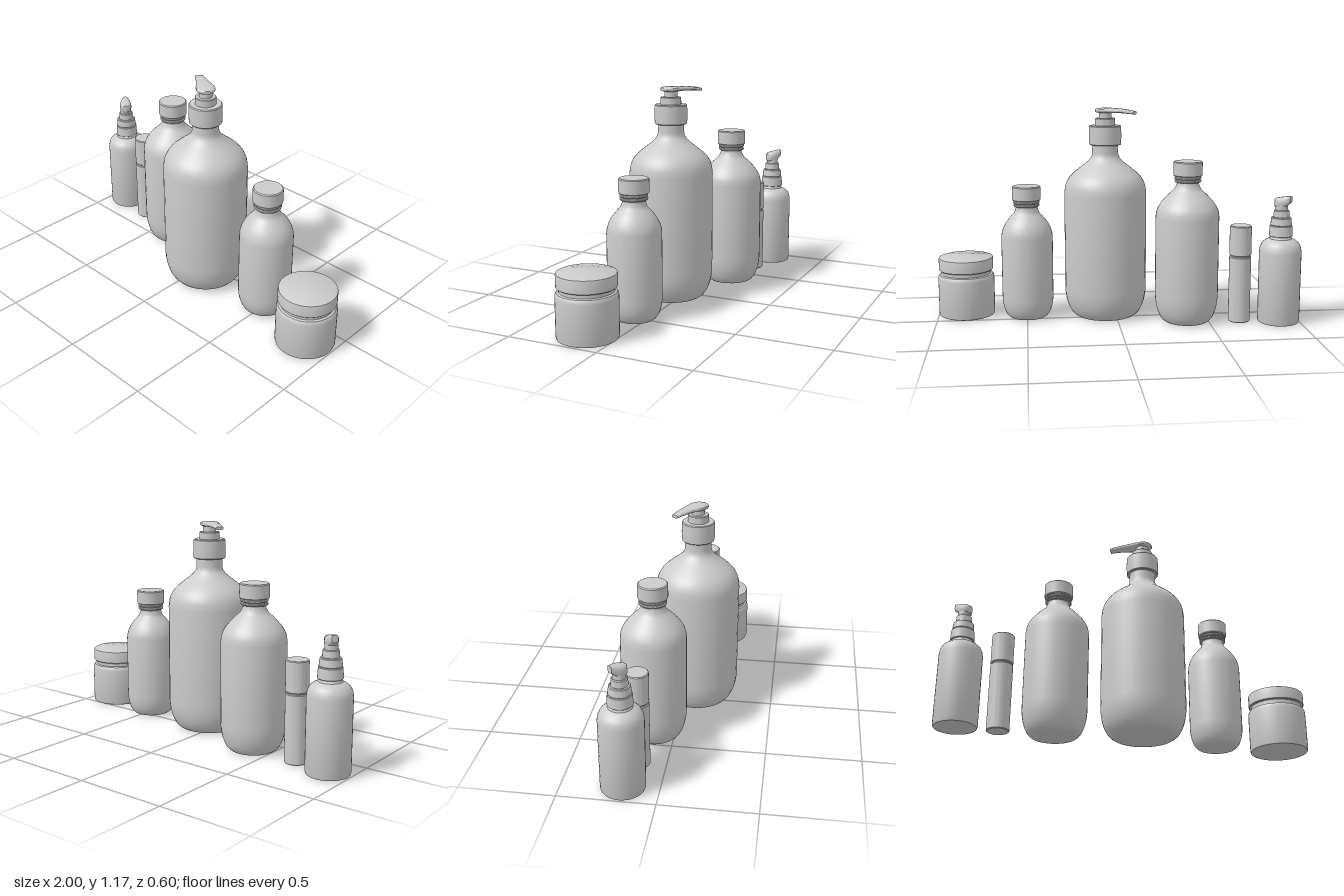
import * as THREE from 'three';
import { toCreasedNormals } from 'three/addons/utils/BufferGeometryUtils.js';

const material = new THREE.MeshStandardMaterial({ color: 0xcccccc });

// Part turned from a [radius, height] profile, closed at both ends
function turned(name, profile, segments = 36) {
  const pts = profile.map(([r, y]) => new THREE.Vector2(r, y));
  pts.unshift(new THREE.Vector2(0, profile[0][1]));
  pts.push(new THREE.Vector2(0, profile[profile.length - 1][1]));
  const mesh = new THREE.Mesh(toCreasedNormals(new THREE.LatheGeometry(pts, segments), 0.6), material);
  mesh.name = name;
  return mesh;
}

// Plain cylinder with a small bevel on both rims
function disc(name, r, y0, y1, bevel = 0.004, rTop = r) {
  return turned(name, [[r - bevel, y0], [r, y0 + bevel], [rTop, y1 - bevel], [rTop - bevel, y1]]);
}

// Rounded arm running along +z; stations are [z, half width, bottom, top]
function arm(name, stations, angle) {
  const n = 20, pos = [], idx = [];
  const soft = v => Math.sign(v) * Math.pow(Math.abs(v), 0.65);
  for (const [z, w, lo, hi] of stations)
    for (let j = 0; j < n; j++) {
      const a = (j / n) * Math.PI * 2;
      pos.push(w * soft(Math.cos(a)), (lo + hi) / 2 + (hi - lo) / 2 * soft(Math.sin(a)), z);
    }
  for (let i = 0; i < stations.length - 1; i++)
    for (let j = 0; j < n; j++) {
      const a = i * n + j, b = i * n + (j + 1) % n;
      idx.push(a, b, a + n, b, b + n, a + n);
    }
  const geo = new THREE.BufferGeometry();
  geo.setAttribute('position', new THREE.Float32BufferAttribute(pos, 3));
  geo.setIndex(idx);
  const mesh = new THREE.Mesh(toCreasedNormals(geo, 0.7), material);
  mesh.name = name;
  mesh.rotation.y = angle;
  return mesh;
}

function item(name, x, z, parts) {
  const g = new THREE.Group();
  g.name = name;
  g.position.set(x, 0, z);
  g.add(...parts);
  return g;
}

// Rounded base shared by the large bottles
function base(r, flat, h) {
  const pts = [];
  for (let i = 0; i <= 8; i++) {
    const a = (i / 8) * Math.PI / 2;
    pts.push([flat + (r - flat) * Math.sin(a), h * (1 - Math.cos(a))]);
  }
  return pts;
}

// Smooth S-shaped shoulder from the wall to the neck
function shoulder(points) {
  return new THREE.SplineCurve(points.map(p => new THREE.Vector2(...p)))
    .getPoints(16).map(p => [p.x, p.y]);
}

// Screw-capped bottle: the cap and neck rings are placed from the top down
function cappedBottle(name, x, z, r, flat, baseH, slope, top) {
  const neck = top - 0.125;
  return item(name, x, z, [
    turned('bottleBody', [...base(r, flat, baseH), ...shoulder(slope), [0.06, neck], [0.06, top - 0.07]]),
    disc('neckRing', 0.073, top - 0.113, top - 0.1),
    disc('capSeal', 0.073, top - 0.096, top - 0.082),
    disc('screwCap', 0.079, top - 0.08, top, 0.005),
  ]);
}

export function createModel() {
  const model = new THREE.Group();
  model.name = 'toiletrySet';

  // Spray bottle
  model.add(item('sprayBottle', -0.885, -0.185, [
    turned('sprayBody', [[0.1, 0], [0.111, 0.004], [0.115, 0.015], [0.115, 0.4], [0.111, 0.425],
      [0.1, 0.447], [0.082, 0.462], [0.062, 0.472], [0.055, 0.49]]),
    disc('sprayCollar', 0.064, 0.485, 0.545, 0.003, 0.061),
    disc('sprayCollarTop', 0.058, 0.545, 0.59, 0.004, 0.054),
    disc('sprayStep', 0.043, 0.588, 0.63, 0.004, 0.041),
    disc('sprayStem', 0.033, 0.62, 0.675, 0.003),
    arm('sprayHead', [[-0.038, 0, 0.66, 0.67], [-0.038, 0.014, 0.645, 0.69], [-0.027, 0.029, 0.64, 0.695],
      [0, 0.036, 0.64, 0.701], [0.025, 0.028, 0.648, 0.706], [0.054, 0.016, 0.672, 0.71],
      [0.056, 0, 0.69, 0.692]], Math.atan2(-0.75, -0.65)),
  ]));

  // Slim roll-on tube
  model.add(item('slimTube', -0.672, -0.145, [
    disc('tubeBody', 0.06, 0, 0.368),
    disc('tubeNeck', 0.054, 0.36, 0.38, 0.001),
    disc('tubeCap', 0.06, 0.374, 0.54),
  ]));

  // Two screw-capped bottles
  model.add(cappedBottle('mediumBottle', -0.38, -0.11, 0.174, 0.11, 0.16,
    [[0.174, 0.59], [0.166, 0.63], [0.142, 0.67], [0.105, 0.71], [0.074, 0.74], [0.061, 0.768]], 0.892));
  model.add(cappedBottle('smallBottle', 0.495, 0.064, 0.143, 0.09, 0.12,
    [[0.143, 0.46], [0.137, 0.495], [0.119, 0.535], [0.092, 0.57], [0.07, 0.595], [0.061, 0.62]], 0.744));

  // Large pump bottle
  model.add(item('pumpBottle', 0.055, 0.068, [
    turned('pumpBody', [...base(0.229, 0.15, 0.17),
      ...shoulder([[0.229, 0.7], [0.221, 0.75], [0.195, 0.795], [0.15, 0.835], [0.105, 0.87], [0.078, 0.9],
        [0.072, 0.925]]), [0.072, 0.98]]),
    turned('pumpCollar', [[0.084, 0.968], [0.088, 0.972], [0.09, 1.02], [0.088, 1.07], [0.084, 1.075]]),
    disc('pumpStep', 0.056, 1.07, 1.115, 0.003),
    disc('pumpStem', 0.035, 1.11, 1.155, 0.002),
    arm('pumpNozzle', [[-0.055, 0, 1.155, 1.16], [-0.054, 0.018, 1.148, 1.165], [-0.04, 0.038, 1.145, 1.169],
      [-0.015, 0.05, 1.143, 1.172], [0.015, 0.05, 1.143, 1.172], [0.05, 0.041, 1.145, 1.171],
      [0.1, 0.031, 1.146, 1.169], [0.16, 0.024, 1.143, 1.163], [0.185, 0.021, 1.14, 1.157],
      [0.186, 0, 1.148, 1.149]], Math.atan2(-0.145, -0.1)),
  ]));

  // Cream jar
  model.add(item('creamJar', 0.842, 0.141, [
    turned('jarBody', [[0.145, 0], [0.154, 0.004], [0.157, 0.014], [0.157, 0.215], [0.155, 0.228],
      [0.149, 0.237], [0.138, 0.241], [0.138, 0.27]], 48),
    turned('jarLid', [[0.148, 0.262], [0.152, 0.266], [0.152, 0.326], [0.15, 0.332], [0.144, 0.335]], 48),
  ]));

  return model;
}
